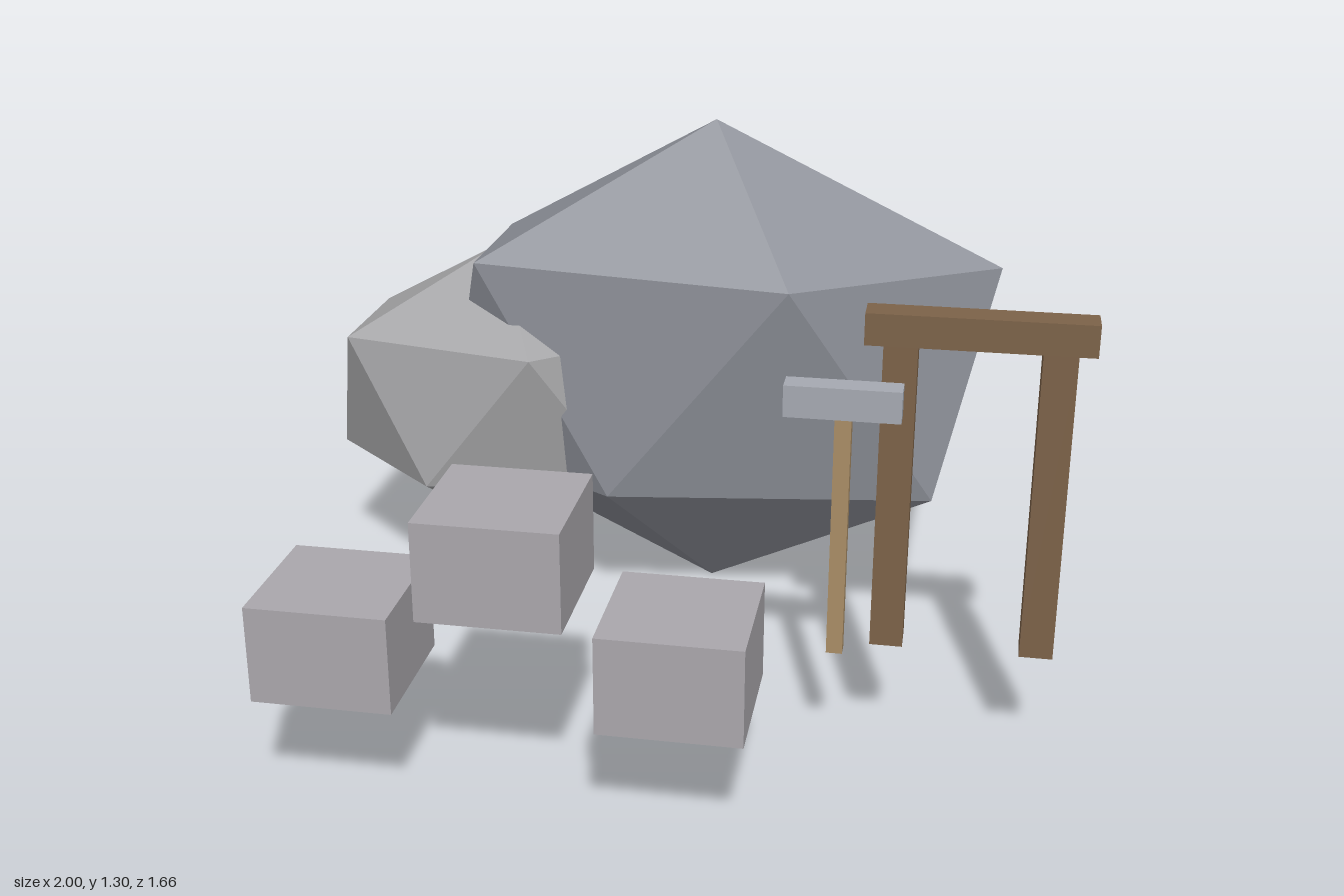
import * as THREE from 'three';
import { ConvexGeometry } from 'three/addons/geometries/ConvexGeometry.js';

const mat = (color) => new THREE.MeshStandardMaterial({ color, flatShading: true });

// Stretched icosahedron standing on a vertex: two poles and two staggered rings of five
function makeBoulder(name, center, radii, material) {
  const points = [new THREE.Vector3(0, 1, 0), new THREE.Vector3(0, -1, 0)];
  const ringY = 1 / Math.sqrt(5), ringR = 2 / Math.sqrt(5);
  // ring radii are given directly, so undo the unit ring radius
  for (let i = 0; i < 5; i++) {
    const a = (i / 5) * Math.PI * 2, b = a + Math.PI / 5;
    points.push(new THREE.Vector3(ringR * Math.cos(a), ringY, ringR * Math.sin(a)));
    points.push(new THREE.Vector3(ringR * Math.cos(b), -ringY, ringR * Math.sin(b)));
  }
  const size = new THREE.Vector3(radii[0] / ringR, radii[1], radii[2] / ringR);
  points.forEach((p) => p.multiply(size));
  const mesh = new THREE.Mesh(new ConvexGeometry(points), material);
  mesh.name = name;
  mesh.position.set(...center);
  return mesh;
}

// Box from its minimum and maximum corners
function makeBox(name, min, max, material) {
  const size = max.map((v, i) => v - min[i]);
  const mesh = new THREE.Mesh(new THREE.BoxGeometry(...size), material);
  mesh.name = name;
  mesh.position.set(...min.map((v, i) => (v + max[i]) / 2));
  return mesh;
}

export function createModel() {
  const model = new THREE.Group();
  model.name = 'rockyOutpost';
  const stone = mat(0xaaa7ac), wood = mat(0x7c6248);

  // Boulders
  model.add(makeBoulder('largeBoulder', [0.05, 0.65, -0.51], [0.75, 0.65, 0.338], mat(0x898c94)));
  model.add(makeBoulder('smallBoulder', [-0.53, 0.535, -0.475], [0.47, 0.415, 0.3], mat(0xa3a3a5)));

  // Stone blocks: outer two low, middle one raised
  [[-0.76, 0.27], [-0.38, 0.5], [0.003, 0.27]].forEach(([x, y], i) => {
    model.add(makeBox(`stoneBlock${i + 1}`, [x, y, 0.513], [x + 0.318, y + 0.228, 0.83], stone));
  });

  // Timber gateway
  const gate = new THREE.Group();
  gate.name = 'timberGateway';
  for (const x of [0.545, 0.885]) {
    gate.add(makeBox('gatePost', [x, 0.27, 0.255], [x + 0.075, 0.997, 0.33], wood));
  }
  gate.add(makeBox('gateBeam', [0.503, 0.997, 0.255], [1, 1.07, 0.33], wood));
  model.add(gate);

  // Sign on a thin post
  const sign = new THREE.Group();
  sign.name = 'sign';
  sign.add(makeBox('signPost', [0.45, 0.27, 0.35], [0.487, 0.845, 0.388], mat(0xa98d66)));
  sign.add(makeBox('signBoard', [0.337, 0.845, 0.338], [0.595, 0.918, 0.398], mat(0xa5a9b1)));
  model.add(sign);

  return model;
}
